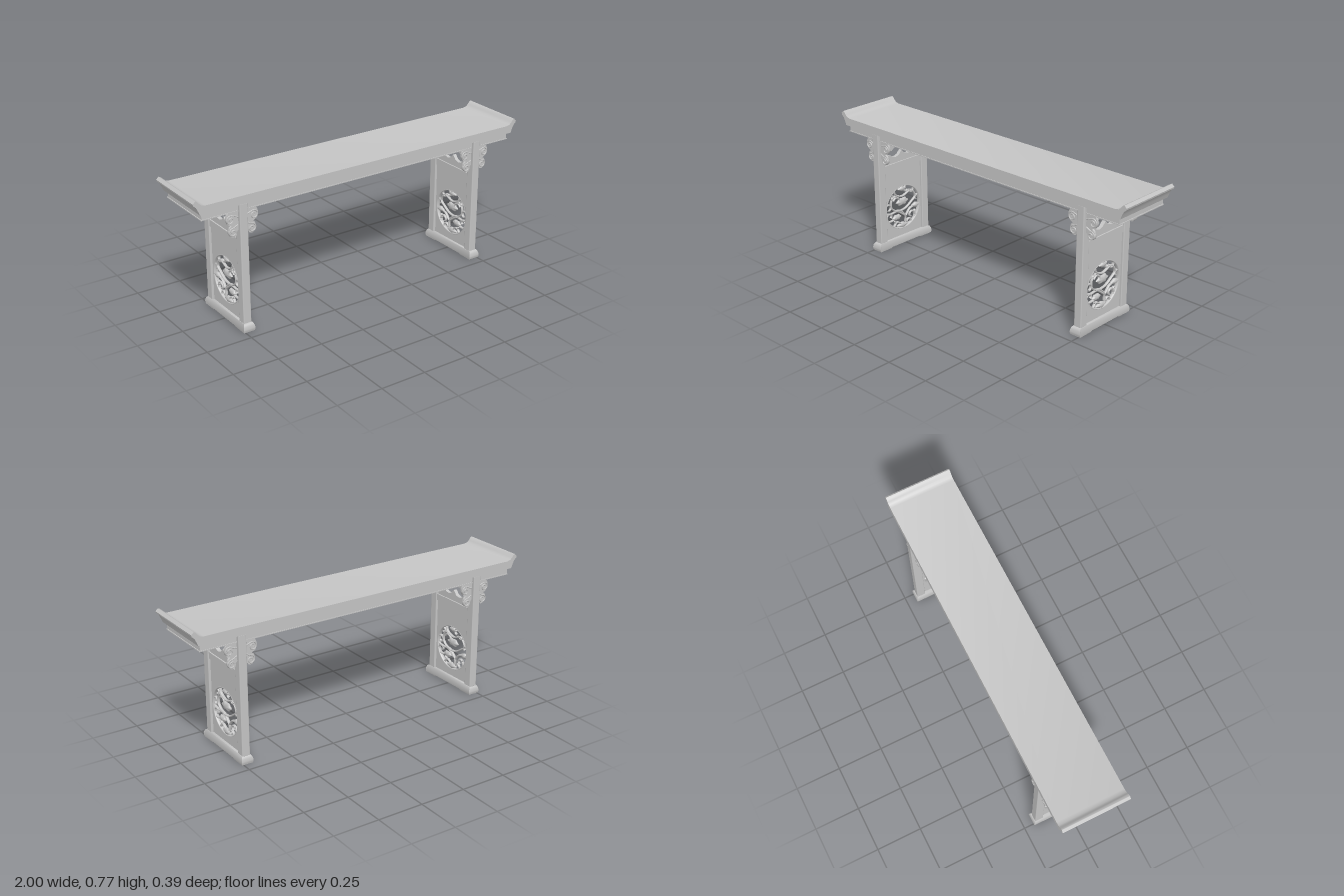
import * as THREE from 'three';
import { toCreasedNormals } from 'three/addons/utils/BufferGeometryUtils.js';
import { RoundedBoxGeometry } from 'three/addons/geometries/RoundedBoxGeometry.js';

const grey = new THREE.MeshStandardMaterial({ color: 0xc4c4c4 });
grey.name = 'stone grey';

const LEG_X = 0.728, ZC = -0.003;

function add(parent, name, geometry, x = 0, y = 0, z = 0) {
  const mesh = new THREE.Mesh(geometry, grey);
  mesh.name = name;
  mesh.position.set(x, y, z);
  parent.add(mesh);
}

const box = (w, h, d) => new THREE.BoxGeometry(w, h, d);
const vectors = pts => pts.map(p => new THREE.Vector2(p[0], p[1]));
const reflected = pts => pts.map(([x, y]) => [-x, y]).reverse();
const mirrored = pts => [...pts, ...reflected(pts)];

// Extrude a shape, centred on its depth, with smooth curves and sharp corners
function slab(shape, depth) {
  const g = new THREE.ExtrudeGeometry(shape, { depth, bevelEnabled: false, curveSegments: 32 });
  g.translate(0, 0, -depth / 2);
  return toCreasedNormals(g, 0.6);
}

// Carved strand following a path, stretched through the thickness of the wood
function strand(pts, radius, depthScale) {
  const curve = new THREE.CatmullRomCurve3(pts.map(p => new THREE.Vector3(p[0], p[1], 0)));
  const g = new THREE.TubeGeometry(curve, Math.max(24, pts.length * 5), radius, 8, false);
  g.scale(1, 1, depthScale);
  return g;
}

function spiral(cx, cy, r0, r1, start, sweep, n = 14) {
  return Array.from({ length: n }, (_, i) => {
    const t = i / (n - 1), r = r0 + (r1 - r0) * t, a = start + sweep * t;
    return [cx + r * Math.cos(a), cy + r * Math.sin(a)];
  });
}

// Flattened blossom with a lobed outline
function blossom(w, h, depth, lobes) {
  const g = new THREE.SphereGeometry(1, 24, 12);
  g.rotateX(Math.PI / 2);
  const p = g.attributes.position;
  for (let i = 0; i < p.count; i++) {
    const k = 1 + 0.13 * Math.cos(lobes * Math.atan2(p.getY(i), p.getX(i)));
    p.setXYZ(i, p.getX(i) * w * k, p.getY(i) * h * k, p.getZ(i) * depth);
  }
  g.computeVertexNormals();
  return g;
}

function makeTop() {
  const top = new THREE.Group();
  top.name = 'top';
  // Plank with an upturned flange at each end
  const profile = mirrored([
    [0.965, 0.693], [0.974, 0.715], [0.984, 0.735], [0.998, 0.748], [1, 0.757],
    [0.987, 0.77], [0.977, 0.766], [0.967, 0.752], [0.955, 0.742], [0.935, 0.737],
  ]);
  add(top, 'plank', slab(new THREE.Shape(vectors(profile)), 0.369));
  // Apron frame with a bead along its lower edge
  for (const s of [-1, 1]) {
    add(top, 'longApron', box(1.9, 0.038, 0.016), 0, 0.675, s * 0.16);
    add(top, 'longBead', box(1.908, 0.005, 0.02), 0, 0.6575, s * 0.161);
    add(top, 'endApron', box(0.016, 0.038, 0.33), s * 0.942, 0.675, 0);
    add(top, 'endBead', box(0.02, 0.005, 0.342), s * 0.944, 0.6575, 0);
  }
  top.position.z = ZC;
  return top;
}

// Scrolled bracket: grows along +x from the leg, hanging from the apron
function makeBracket() {
  const bracket = new THREE.Group();
  bracket.name = 'scrollBracket';
  const s = new THREE.Shape();
  s.moveTo(-0.002, 0);
  s.lineTo(0.052, 0);
  s.bezierCurveTo(0.07, -0.012, 0.074, -0.05, 0.052, -0.064);
  s.lineTo(0.036, -0.072);
  s.bezierCurveTo(0.062, -0.08, 0.054, -0.124, 0.034, -0.132);
  s.bezierCurveTo(0.018, -0.138, 0.006, -0.122, 0.01, -0.108);
  s.lineTo(-0.002, -0.095);
  add(bracket, 'bracketBoard', slab(s, 0.012));
  const upper = [[0, -0.03], ...spiral(0.043, -0.039, 0.025, 0.006, 2.2, -9)];
  const lower = [[0.002, -0.07], ...spiral(0.031, -0.107, 0.024, 0.006, 1.7, -8.5)];
  add(bracket, 'upperScroll', strand(upper, 0.0045, 2.3));
  add(bracket, 'lowerScroll', strand(lower, 0.0045, 2.3));
  return bracket;
}

// Openwork roundel of vines and blossoms, in units of 1/490 from its centre
function makeRoundel() {
  const roundel = new THREE.Group();
  roundel.name = 'roundel';
  const u = 1 / 490;
  const ring = new THREE.TorusGeometry(0.129, 0.0055, 8, 56);
  ring.scale(1, 1, 2.2);
  add(roundel, 'ring', ring);
  // Main stems
  const stems = [
    [[10, -48], [11, -32], [-8, -11], [-28, -5], [-41, 8], [-40, 26], [-28, 38], [-18, 30]],
    [[-30, 54], [-24, 41], [0, 31], [34, 40], [49, 18], [34, 5], [12, -8], [-8, -11]],
    [[-62, -6], [-46, -11], [-20, -10], [6, -27]],
    [[13, -30], [28, -14], [48, -10]],
    [[-56, -32], [-40, -33], [-24, -27]],
    [[-34, -54], [-22, -42], [-2, -54]],
  ];
  // Tendrils curling in from the ring: centre, radius, start angle, sweep
  const tendrils = [
    [-52, 8, 12, 2.4, -5], [-42, 38, 10, 2.4, -4.5], [16, 49, 11, 1.2, 4.5], [32, 43, 11, 0.9, -4.5],
    [54, 12, 10, 0.2, 4], [34, -34, 13, -0.7, 5], [49, -28, 9, -0.5, -4], [22, -50, 10, -1, 4.5],
    [-48, -18, 11, 3.4, -4.5], [-33, -43, 10, 3.9, 4], [-20, 20, 14, 2.8, -4],
  ];
  const curls = tendrils.map(([x, y, r, start, sweep]) => spiral(x, y, r, r * 0.45, start, sweep, 9));
  for (const path of [...stems, ...curls]) {
    add(roundel, 'vine', strand(path.map(([x, y]) => [x * u, y * u]), 0.0052, 1.6));
  }
  const blossoms = [[0, 54, 14, 7, 4], [0, 15, 21, 11, 6], [50, -9, 14, 7, 4], [-21, -27, 15, 8, 6], [-2, -55, 18, 8, 4]];
  for (const [x, y, w, h, lobes] of blossoms) {
    add(roundel, 'blossom', blossom(w * u, h * u, 0.012, lobes), x * u, y * u);
  }
  return roundel;
}

// Panelled end between two legs, drawn facing +z and turned to face +x
function makeEndPanel() {
  const panel = new THREE.Group();
  panel.name = 'endPanel';
  const board = (y0, y1) => new THREE.Shape(vectors(mirrored([[0.138, y0], [0.138, y1]])));
  const lower = board(0.04, 0.462);
  lower.holes.push(new THREE.Path().absarc(0, 0.214, 0.127, 0, Math.PI * 2, true));
  add(panel, 'lowerPanel', slab(lower, 0.02));
  const upper = board(0.495, 0.627);
  const lobe = [
    [0.014, 0.585], [0.036, 0.59], [0.056, 0.586], [0.072, 0.573], [0.1, 0.57], [0.107, 0.56],
    [0.103, 0.55], [0.078, 0.544], [0.066, 0.533], [0.044, 0.529], [0.022, 0.536],
  ];
  upper.holes.push(new THREE.Path(vectors([[0, 0.595], ...lobe, [0, 0.56], ...reflected(lobe)])));
  add(panel, 'cloudPanel', slab(upper, 0.02));
  add(panel, 'middleRail', box(0.276, 0.037, 0.034), 0, 0.4785, 0);
  add(panel, 'topRail', box(0.276, 0.07, 0.034), 0, 0.66, 0);
  const roundel = makeRoundel();
  roundel.position.y = 0.214;
  panel.add(roundel);
  panel.rotation.y = Math.PI / 2;
  return panel;
}

// Foot rail with a swelling profile and a shallow recess underneath
function makeFootGeometry() {
  const outline = mirrored([
    [0.105, 0.006], [0.113, 0], [0.194, 0], [0.197, 0.008], [0.197, 0.018], [0.195, 0.03], [0.191, 0.04], [0.183, 0.045],
  ]);
  const g = new THREE.ExtrudeGeometry(new THREE.Shape(vectors(outline)), { depth: 1, bevelEnabled: false });
  g.translate(0, 0, -0.5);
  // Widest a third of the way up, narrowing to the top
  const p = g.attributes.position;
  for (let i = 0; i < p.count; i++) {
    const t = (p.getY(i) - 0.016) / 0.029;
    p.setZ(i, p.getZ(i) * (0.068 - 0.02 * t * t));
  }
  g.rotateY(Math.PI / 2);
  return toCreasedNormals(g, 0.7);
}

export function createModel() {
  const table = new THREE.Group();
  table.name = 'altarTable';
  table.add(makeTop());
  for (const sx of [-1, 1]) {
    const end = new THREE.Group();
    end.name = sx > 0 ? 'leftEnd' : 'rightEnd';
    end.position.x = sx * LEG_X;
    add(end, 'foot', makeFootGeometry());
    const panel = makeEndPanel();
    panel.position.z = ZC;
    end.add(panel);
    for (const sz of [-1, 1]) {
      add(end, 'leg', new RoundedBoxGeometry(0.045, 0.656, 0.048, 2, 0.005), 0, 0.368, ZC + sz * 0.16);
      for (const side of [-1, 1]) {
        const bracket = makeBracket();
        bracket.position.set(side * 0.022, 0.655, ZC + sz * 0.16);
        if (side < 0) bracket.rotation.y = Math.PI;
        end.add(bracket);
      }
    }
    table.add(end);
  }
  return table;
}
